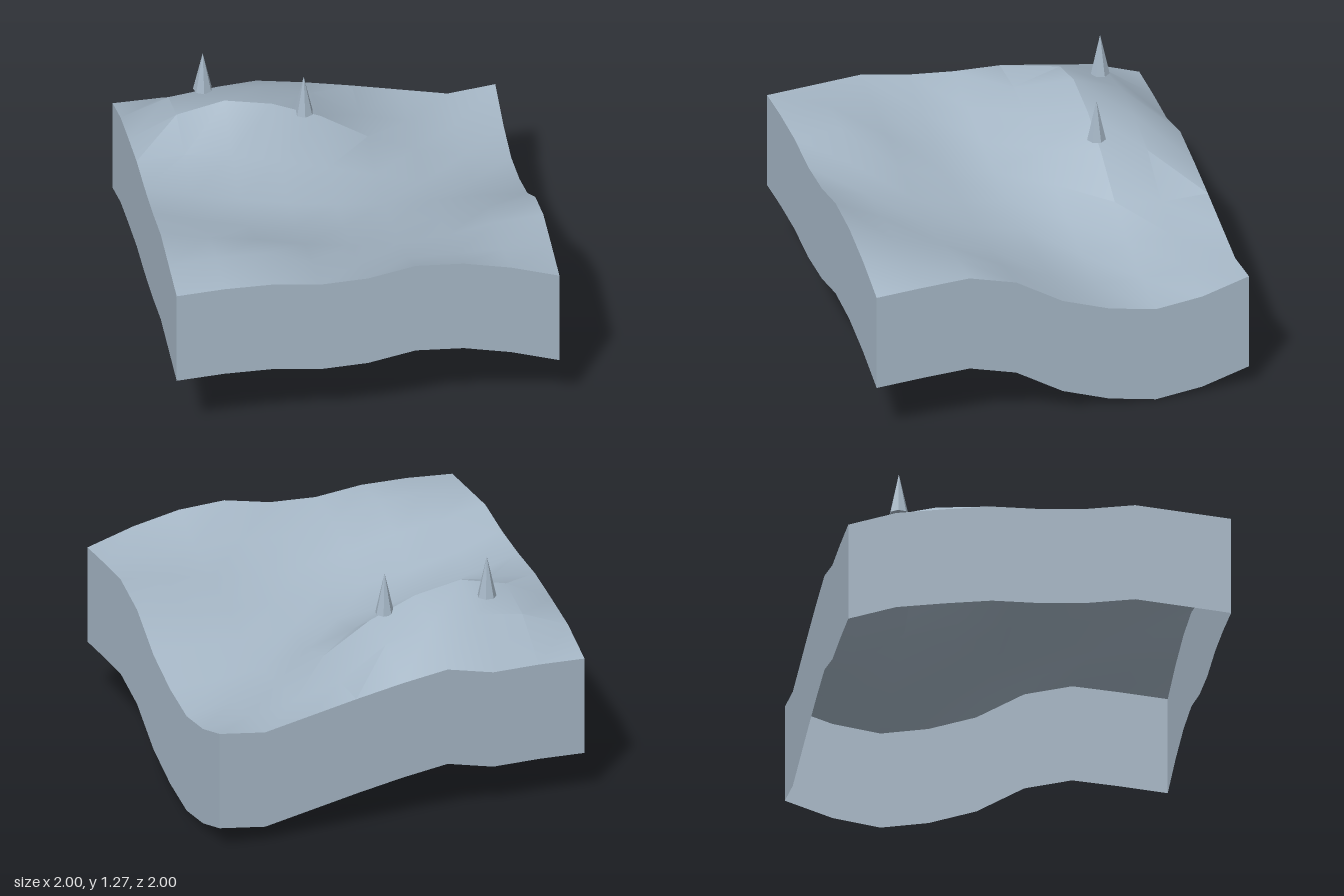
import * as THREE from 'three';
import { toCreasedNormals } from 'three/addons/utils/BufferGeometryUtils.js';

const N = 8, STEP = 2 / N, DEPTH = 0.535;

// Ground heights: one row per z from back to front, x runs from -1 to 1
const HEIGHTS = [
  [0.765, 0.77, 0.765, 0.82, 0.78, 0.73, 0.675, 0.62, 0.65],
  [0.85, 0.95, 0.985, 0.96, 0.89, 0.72, 0.65, 0.605, 0.57],
  [0.89, 1.015, 1.075, 1.025, 0.92, 0.76, 0.65, 0.58, 0.535],
  [0.925, 0.935, 0.90, 0.835, 0.765, 0.69, 0.62, 0.59, 0.58],
  [0.93, 0.855, 0.795, 0.745, 0.71, 0.685, 0.675, 0.68, 0.665],
  [0.95, 0.87, 0.805, 0.765, 0.74, 0.73, 0.74, 0.78, 0.815],
  [0.99, 0.94, 0.90, 0.84, 0.80, 0.79, 0.81, 0.86, 0.88],
  [0.97, 0.99, 0.985, 0.905, 0.865, 0.87, 0.87, 0.865, 0.865],
  [0.95, 0.965, 0.965, 0.935, 0.945, 0.995, 0.98, 0.925, 0.845],
];

// Rolling top surface, smooth except along the steep ridge
function groundGeometry() {
  const g = new THREE.PlaneGeometry(2, 2, N, N).rotateX(-Math.PI / 2);
  const p = g.attributes.position;
  for (let i = 0; i < p.count; i++) {
    p.setY(i, HEIGHTS[Math.floor(i / (N + 1))][i % (N + 1)]);
  }
  return toCreasedNormals(g, Math.PI / 6);
}

// Upright wall hanging from one edge; cell(i) gives [column, row] along it
function wallGeometry(cell) {
  const pos = [], idx = [];
  for (let i = 0; i <= N; i++) {
    const [c, r] = cell(i);
    const x = -1 + c * STEP, z = -1 + r * STEP, y = HEIGHTS[r][c];
    pos.push(x, y, z, x, y - DEPTH, z);
    if (i < N) {
      const a = i * 2;
      idx.push(a, a + 1, a + 2, a + 1, a + 3, a + 2);
    }
  }
  const g = new THREE.BufferGeometry();
  g.setAttribute('position', new THREE.Float32BufferAttribute(pos, 3));
  g.setIndex(idx);
  g.computeVertexNormals();
  return g;
}

export function createModel() {
  const model = new THREE.Group();
  model.name = 'terrainTile';

  const slate = new THREE.MeshStandardMaterial({ color: 0xa5b6c5, side: THREE.DoubleSide });
  slate.name = 'slateBlue';

  const add = (name, geometry) => {
    const mesh = new THREE.Mesh(geometry, slate);
    mesh.name = name;
    model.add(mesh);
    return mesh;
  };

  add('ground', groundGeometry());

  // Open-bottomed skirt, each wall running left to right as seen from outside
  add('frontWall', wallGeometry((i) => [i, N]));
  add('rightWall', wallGeometry((i) => [N, N - i]));
  add('backWall', wallGeometry((i) => [N - i, 0]));
  add('leftWall', wallGeometry((i) => [0, i]));

  // Seven-sided trees, split into flat facets
  const cone = new THREE.ConeGeometry(0.05, 0.225, 7).translate(0, 0.1125, 0).toNonIndexed();
  cone.computeVertexNormals();
  for (const [x, y, z] of [[-0.585, 1.042, -0.667], [-0.085, 0.952, -0.5]]) {
    add('tree', cone).position.set(x, y, z);
  }
  return model;
}
